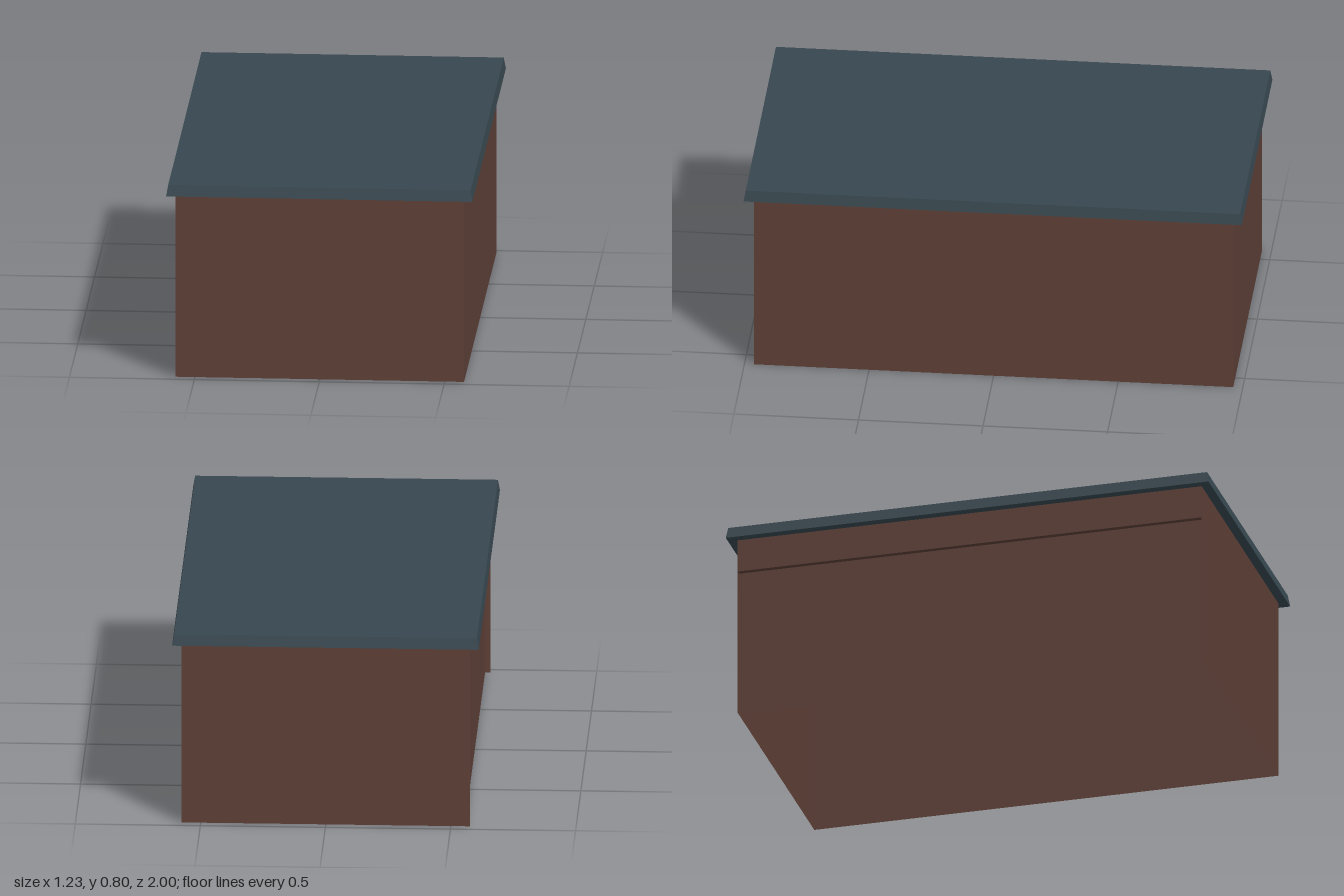
import * as THREE from 'three';

const X = 0.577, Z = 0.962;          // half width and depth of the walls
const EAVE = 0.757, TOP = 0.803;     // roof underside and top
const DOOR_H = 0.62, RECESS = 0.022; // recessed panel on the -x side

export function createModel() {
  const group = new THREE.Group();
  const brown = new THREE.MeshStandardMaterial({ color: 0x5d4037, side: THREE.DoubleSide });
  const slate = new THREE.MeshStandardMaterial({ color: 0x37474f });
  const dark = new THREE.MeshStandardMaterial({ color: 0x212121 });
  brown.name = 'brownWall';
  slate.name = 'slateRoof';
  dark.name = 'darkCeiling';

  const plane = (name, w, h, pos, rot, mat = brown) => {
    const mesh = new THREE.Mesh(new THREE.PlaneGeometry(w, h), mat);
    mesh.name = name;
    mesh.position.set(...pos);
    mesh.rotation.set(...rot);
    group.add(mesh);
  };

  // Thin walls, open at the bottom
  plane('frontWall', 2 * X, EAVE, [0, EAVE / 2, Z], [0, 0, 0]);
  plane('backWall', 2 * X, EAVE, [0, EAVE / 2, -Z], [0, Math.PI, 0]);
  plane('leftWall', 2 * Z, EAVE, [X, EAVE / 2, 0], [0, Math.PI / 2, 0]);

  // Right side: lintel over a slightly recessed wide door
  plane('lintel', 2 * Z, EAVE - DOOR_H, [-X, (EAVE + DOOR_H) / 2, 0], [0, -Math.PI / 2, 0]);
  plane('lintelUnderside', RECESS, 2 * Z, [-X + RECESS / 2, DOOR_H, 0], [Math.PI / 2, 0, 0]);
  plane('door', 2 * Z, DOOR_H, [-X + RECESS, DOOR_H / 2, 0], [0, -Math.PI / 2, 0]);

  // Dark ceiling inside the walls
  plane('ceiling', 2 * X, 2 * Z, [0, EAVE - 0.002, 0], [Math.PI / 2, 0, 0], dark);

  // Overhanging flat roof, tapering slightly towards the top
  const roofGeo = new THREE.BoxGeometry(1.226, TOP - EAVE, 2);
  const p = roofGeo.attributes.position;
  for (let i = 0; i < p.count; i++) {
    if (p.getY(i) > 0) {
      p.setX(i, Math.sign(p.getX(i)) * 0.605);
      p.setZ(i, Math.sign(p.getZ(i)) * 0.992);
    }
  }
  roofGeo.computeVertexNormals();
  const roof = new THREE.Mesh(roofGeo, slate);
  roof.name = 'roof';
  roof.position.y = (TOP + EAVE) / 2;
  group.add(roof);

  return group;
}
